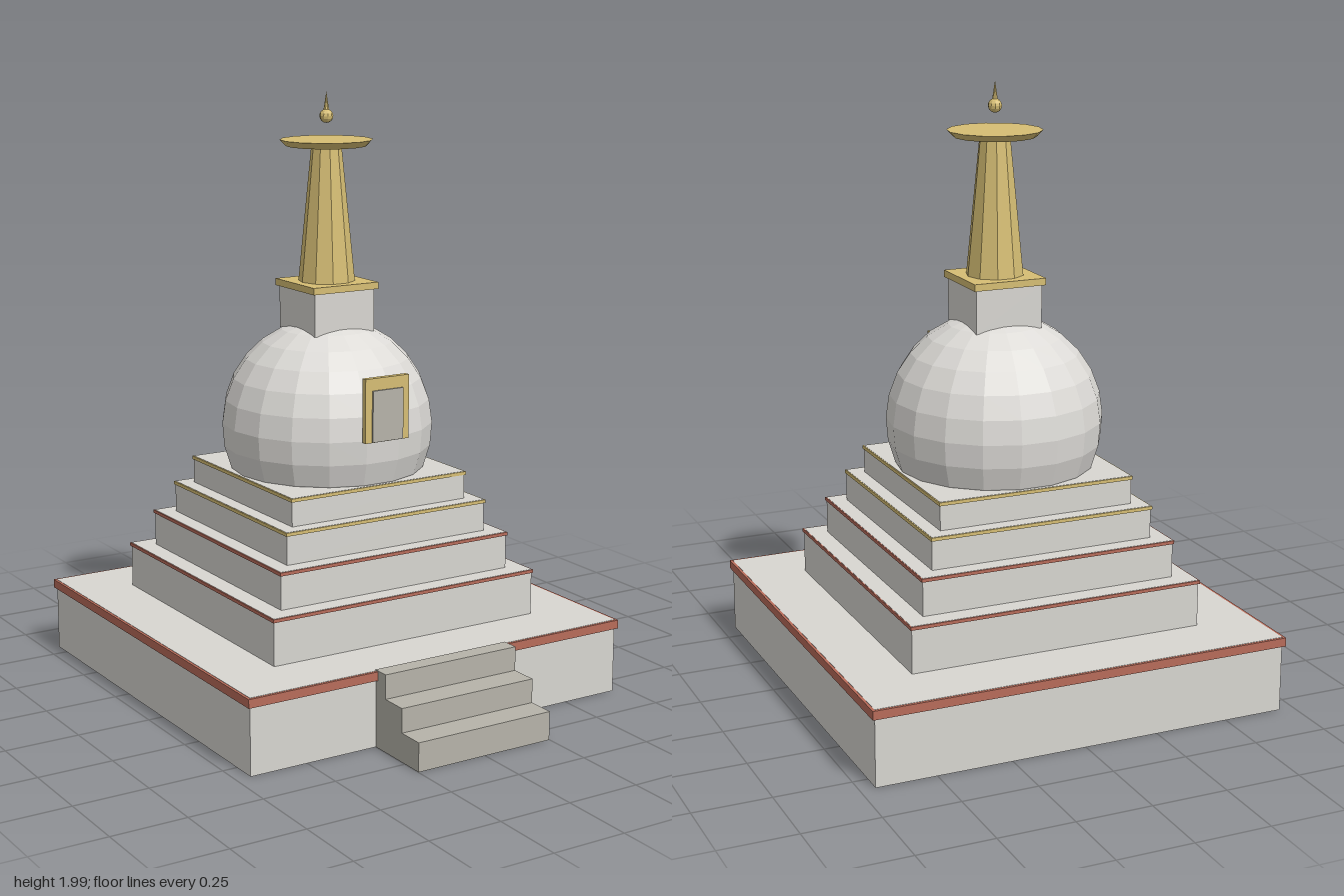
import * as THREE from 'three';

const CZ = -0.115; // centre of the tower in z

function material(name, color) {
  const m = new THREE.MeshStandardMaterial({ color, flatShading: true });
  m.name = name;
  return m;
}

export function createModel() {
  const model = new THREE.Group();
  model.name = 'stupa';
  const stone = material('pale stone', 0xd8d6d1);
  const plaster = material('dome plaster', 0xdddbd7);
  const stepStone = material('step stone', 0xb6b3a9);
  const gold = material('gold', 0xd6be74);
  const red = material('red trim', 0xb86c5a);

  function add(name, geometry, mat, y, z = CZ) {
    const mesh = new THREE.Mesh(geometry, mat);
    mesh.name = name;
    mesh.position.set(0, y, z);
    model.add(mesh);
    return mesh;
  }

  // Square block centred on the tower, between two heights
  function block(name, half, y0, y1, mat) {
    return add(name, new THREE.BoxGeometry(half * 2, y1 - y0, half * 2), mat, (y0 + y1) / 2);
  }

  // Stepped terraces, each with a slim projecting trim around its upper edge
  const terraces = [
    ['base', 0.7, 0, 0.252, 0.03, 0.009, red],
    ['firstTerrace', 0.5, 0.252, 0.408, 0.012, 0.004, red],
    ['secondTerrace', 0.437, 0.408, 0.533, 0.012, 0.004, red],
    ['thirdTerrace', 0.383, 0.533, 0.641, 0.012, 0.004, gold],
    ['fourthTerrace', 0.335, 0.641, 0.735, 0.012, 0.004, gold],
  ];
  for (const [name, half, y0, y1, trim, lip, mat] of terraces) {
    block(name, half, y0, y1, stone);
    block(name + 'Trim', half + lip, y1 - trim, y1 - 0.001, mat);
  }

  // Entrance steps at the front
  for (let i = 0; i < 3; i++) {
    const h = 0.095 + i * 0.08, front = 0.825 - i * 0.0925, back = 0.58;
    add('step' + (i + 1), new THREE.BoxGeometry(0.498, h, front - back - i * 0.001),
      stepStone, h / 2, (front + back) / 2);
  }

  // Faceted dome, cut off just below the top of the last terrace
  add('dome', new THREE.SphereGeometry(0.358, 18, 10, 0, Math.PI * 2, 0, Math.PI * 0.7), plaster, 0.88);

  // Framed niche on the front of the dome
  add('nicheFrame', new THREE.BoxGeometry(0.166, 0.212, 0.02), gold, 0.996, 0.25);
  add('nichePanel', new THREE.BoxGeometry(0.116, 0.17, 0.008), stepStone, 0.977, 0.262);

  // Square neck and its cap
  block('neck', 0.115, 1.2, 1.345, stone);
  block('neckCap', 0.125, 1.343, 1.366, gold);

  // Tapered spire and parasol disc
  add('spire', new THREE.CylinderGeometry(0.05, 0.095, 0.455, 10), gold, 1.59).rotation.y = Math.PI / 2;
  add('parasol', new THREE.CylinderGeometry(0.155, 0.135, 0.021, 14), gold, 1.825).rotation.y = Math.PI / 2;

  // Finial
  add('finialBall', new THREE.SphereGeometry(0.023, 10, 8), gold, 1.912);
  add('finialTip', new THREE.ConeGeometry(0.011, 0.07, 8), gold, 1.957);

  return model;
}
